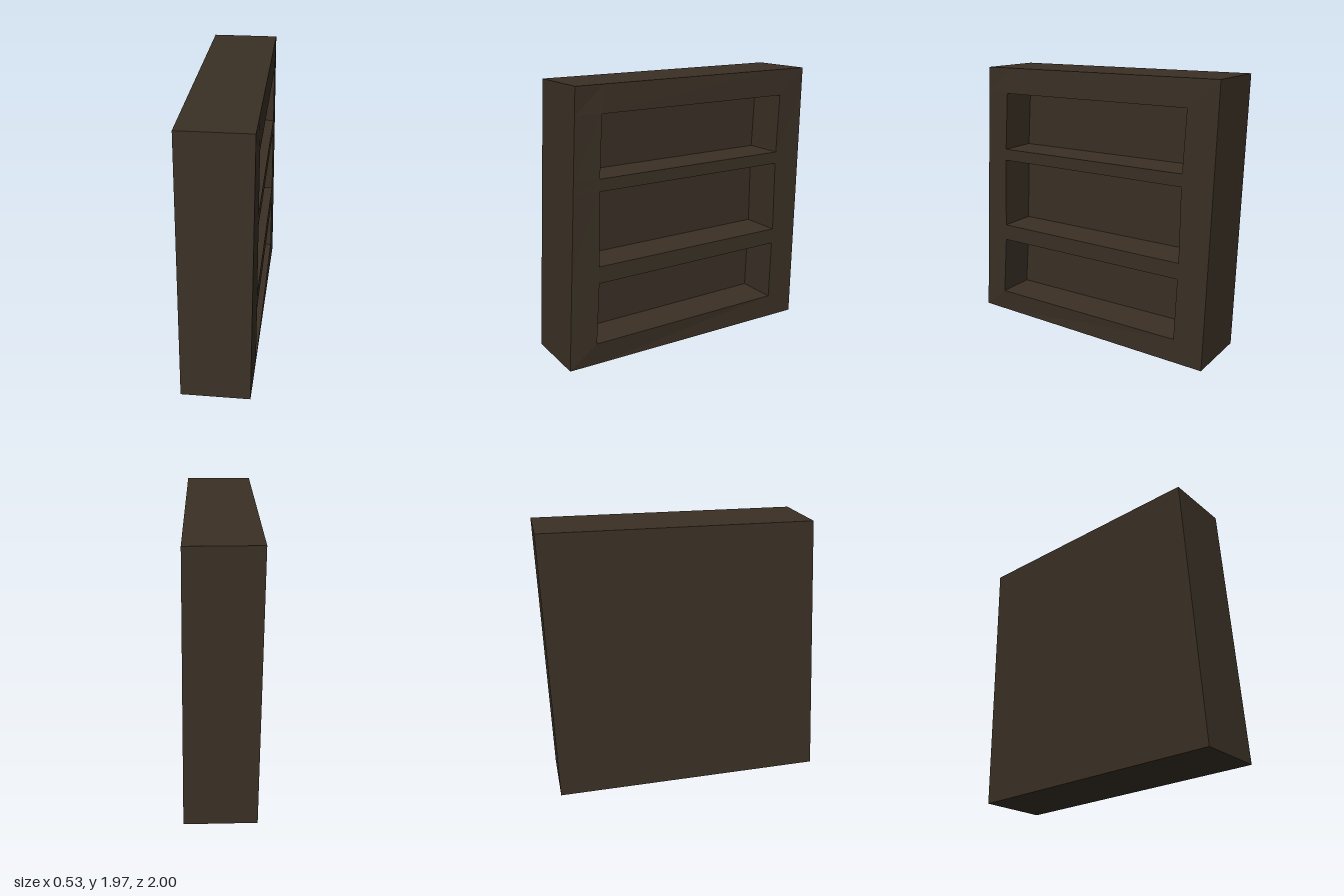
import * as THREE from 'three';

// Flat-shaded mesh from a list of quads, corners counter-clockwise from outside
function quadMesh(name, quads, material) {
  const points = [];
  for (const [a, b, c, d] of quads) points.push(...a, ...b, ...c, ...a, ...c, ...d);
  const geometry = new THREE.BufferGeometry();
  geometry.setAttribute('position', new THREE.Float32BufferAttribute(points, 3));
  geometry.computeVertexNormals();
  const mesh = new THREE.Mesh(geometry, material);
  mesh.name = name;
  return mesh;
}

const mix = (a, b, t) => a.map((v, i) => v + (b[i] - v) * t);

export function createModel() {
  const group = new THREE.Group();
  group.name = 'bookshelf';
  const wood = new THREE.MeshStandardMaterial({ color: 0x3a3025 });
  wood.name = 'dark wood';

  // Outer corners of the skewed case: open side (+x) and closed side (-x)
  const open = { bf: [0.215, 0.03, 1], bb: [0.263, 0.005, -0.955], tb: [0.238, 1.97, -1], tf: [0.215, 1.96, 0.88] };
  const shut = { bf: [-0.27, 0.03, 1], bb: [-0.24, 0.005, -0.955], tb: [-0.247, 1.97, -1], tf: [-0.27, 1.96, 0.88] };

  // Opening edges from bottom to top: [front z, front y, back z, back y]
  const edges = [
    [0.80, 0.19, -0.735, 0.18], [0.765, 0.63, -0.75, 0.625],
    [0.76, 0.75, -0.755, 0.74], [0.74, 1.268, -0.757, 1.265],
    [0.735, 1.353, -0.76, 1.353], [0.705, 1.775, -0.78, 1.78],
  ];

  // Grid of points over the open side, four columns from front to back
  const endRow = (f, b) => [f, mix(f, b, 0.11), mix(f, b, 0.88), b];
  const grid = [endRow(open.bf, open.bb)];
  for (const [zf, yf, zb, yb] of edges) {
    grid.push([
      mix(open.bf, open.tf, (yf - 0.03) / 1.93),
      [0.236 - 0.004 * yf, yf, zf],
      [0.256 - 0.008 * yb, yb, zb],
      mix(open.bb, open.tb, (yb - 0.005) / 1.965),
    ]);
  }
  grid.push(endRow(open.tf, open.tb));

  // Face frame, leaving the three openings free
  const frame = [];
  for (let r = 0; r < 7; r++) {
    for (let c = 0; c < 3; c++) {
      if (c === 1 && r % 2 === 1) continue;
      frame.push([grid[r][c], grid[r][c + 1], grid[r + 1][c + 1], grid[r + 1][c]]);
    }
  }
  group.add(quadMesh('faceFrame', frame, wood));

  // Sides, top, bottom and closed back of the case
  group.add(quadMesh('caseFront', [[shut.bf, open.bf, open.tf, shut.tf]], wood));
  group.add(quadMesh('caseRear', [[open.bb, shut.bb, shut.tb, open.tb]], wood));
  group.add(quadMesh('caseTop', [[shut.tf, open.tf, open.tb, shut.tb]], wood));
  group.add(quadMesh('caseBottom', [[shut.bb, open.bb, open.bf, shut.bf]], wood));
  group.add(quadMesh('caseBack', [[shut.bb, shut.bf, shut.tf, shut.tb]], wood));

  // Recessed compartments
  ['lowerCompartment', 'middleCompartment', 'upperCompartment'].forEach((name, i) => {
    const r = 1 + i * 2;
    const rim = [grid[r][1], grid[r][2], grid[r + 1][2], grid[r + 1][1]];
    const deep = rim.map(([, y, z]) => [-0.045, y, z]);
    const quads = rim.map((p, k) => [p, rim[(k + 1) % 4], deep[(k + 1) % 4], deep[k]]);
    group.add(quadMesh(name, [...quads, deep], wood));
  });

  return group;
}
